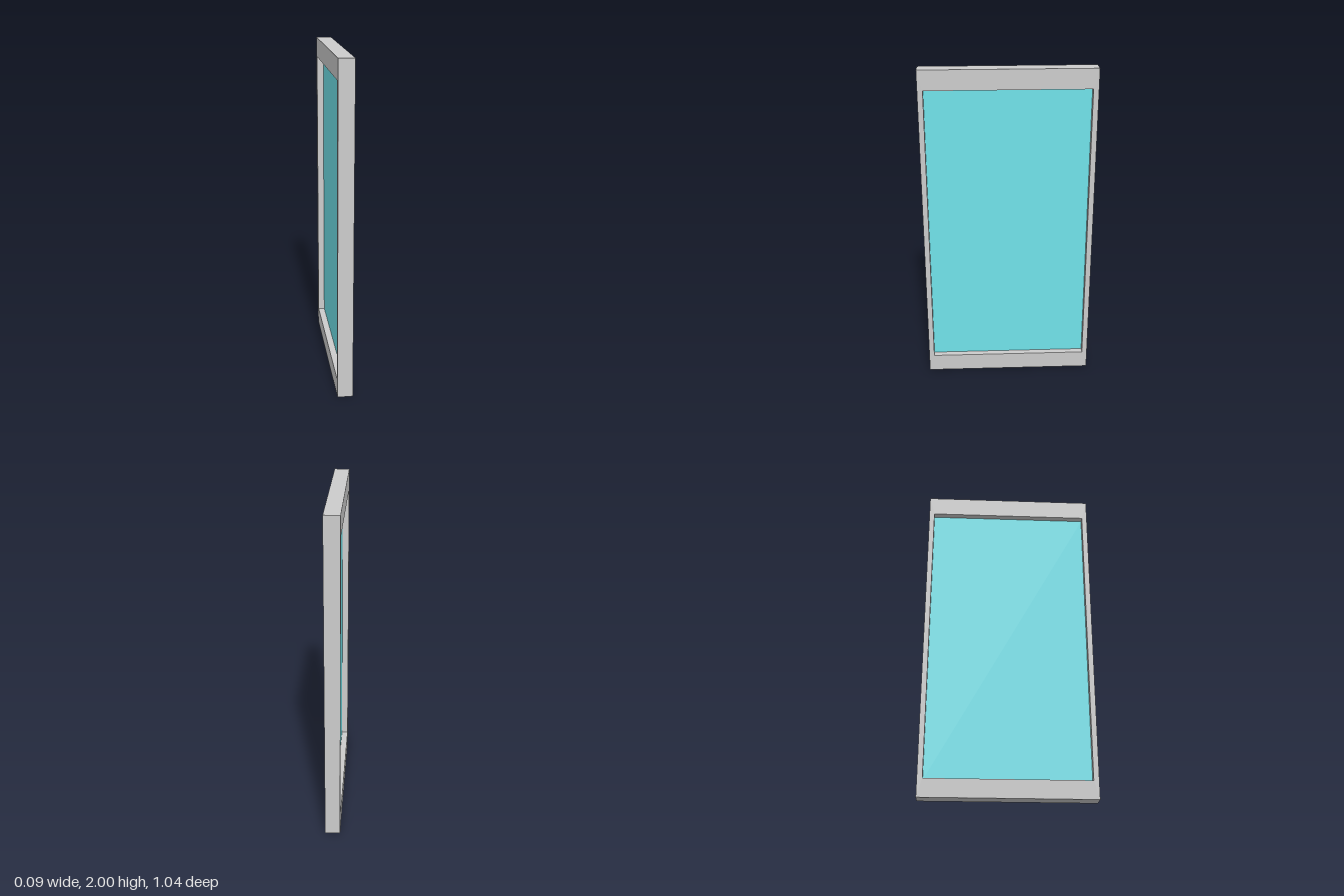
import * as THREE from 'three';

const DEPTH = 0.092;
const WIDTH = 1.036;
const HEIGHT = 2;
const OPENING = { halfWidth: 0.486, bottom: 0.11, top: 1.88 };
const GLASS_DEPTH = 0.012;

// Traces a rectangle, centred on x, onto a shape or path
function rectangle(path, halfWidth, bottom, top) {
  path.moveTo(-halfWidth, bottom);
  path.lineTo(halfWidth, bottom);
  path.lineTo(halfWidth, top);
  path.lineTo(-halfWidth, top);
  path.closePath();
  return path;
}

export function createModel() {
  const group = new THREE.Group();
  group.name = 'windowPanel';
  const { halfWidth, bottom, top } = OPENING;

  // Frame: one solid surround with slim jambs and deeper top and bottom rails
  const outline = rectangle(new THREE.Shape(), WIDTH / 2, 0, HEIGHT);
  outline.holes.push(rectangle(new THREE.Path(), halfWidth, bottom, top));
  const frameGeometry = new THREE.ExtrudeGeometry(outline, { depth: DEPTH, bevelEnabled: false });
  frameGeometry.translate(0, 0, -DEPTH / 2).rotateY(Math.PI / 2);
  const frame = new THREE.Mesh(frameGeometry, new THREE.MeshStandardMaterial({ color: 0xcccccc }));
  frame.name = 'frame';
  group.add(frame);

  // Glass: thin pane set back equally from both faces
  const glass = new THREE.Mesh(
    new THREE.BoxGeometry(GLASS_DEPTH, top - bottom, halfWidth * 2),
    new THREE.MeshStandardMaterial({ color: 0x70e2ea })
  );
  glass.name = 'glassPane';
  glass.position.y = (top + bottom) / 2;
  group.add(glass);

  return group;
}
